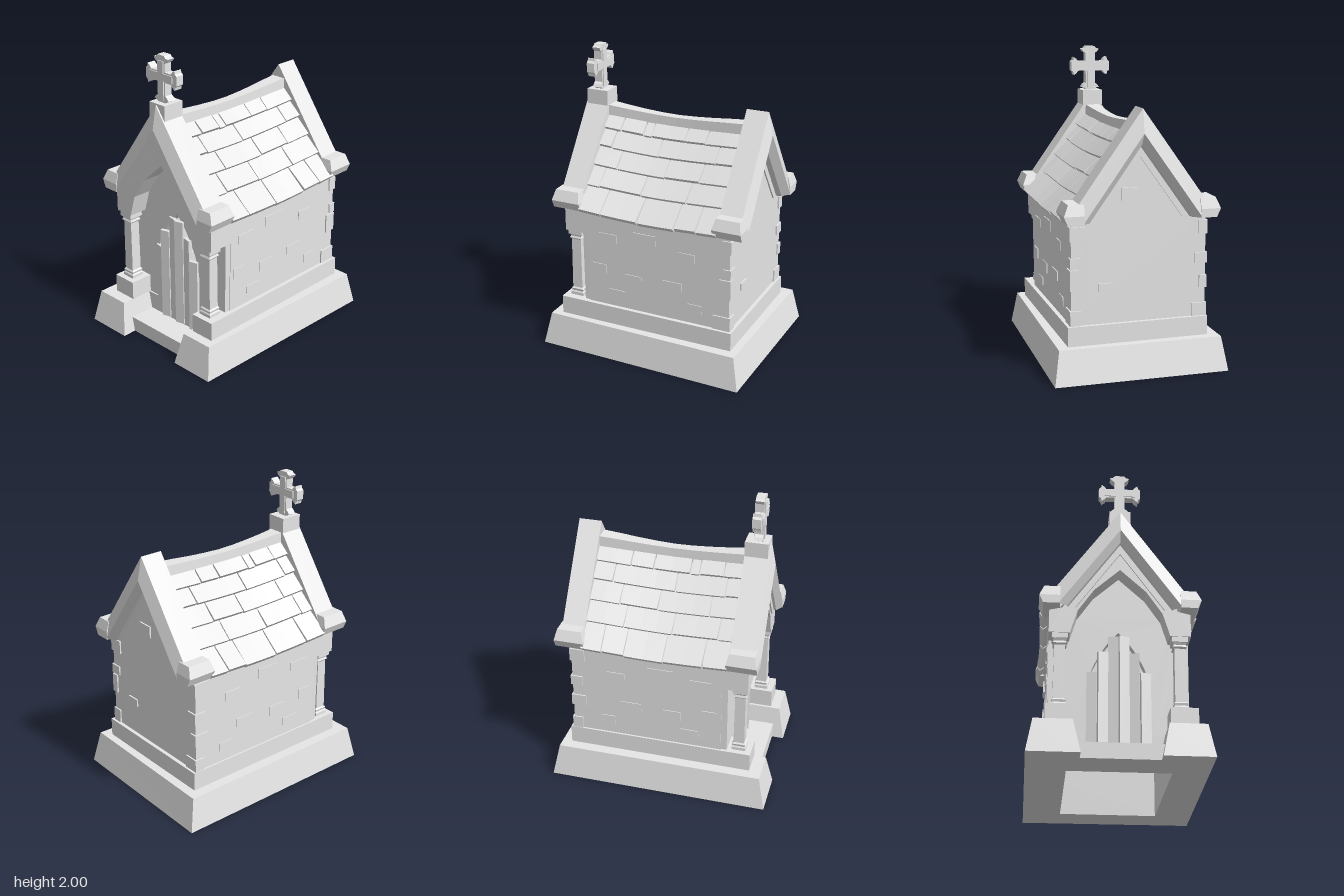
import * as THREE from 'three';

const stone = new THREE.MeshStandardMaterial({ color: 0xe7e7e7 });
stone.name = 'stone';

// Adds a faceted mesh to a group
function add(parent, name, geometry) {
  const g = geometry.index ? geometry.toNonIndexed() : geometry;
  g.computeVertexNormals();
  const mesh = new THREE.Mesh(g, stone);
  mesh.name = name;
  parent.add(mesh);
  return mesh;
}

// Box given by its limits
function box(x0, x1, y0, y1, z0, z1) {
  return new THREE.BoxGeometry(x1 - x0, y1 - y0, z1 - z0)
    .translate((x0 + x1) / 2, (y0 + y1) / 2, (z0 + z1) / 2);
}

const shapeOf = (pts) => new THREE.Shape(pts.map(([a, b]) => new THREE.Vector2(a, b)));

// Profile in (-z, y) pushed along x, and plan in (x, -z) pushed up y
function extrudeX(shape, x0, x1) {
  return new THREE.ExtrudeGeometry(shape, { depth: x1 - x0, bevelEnabled: false })
    .rotateY(Math.PI / 2).translate(x0, 0, 0);
}
function extrudeY(shape, y0, y1) {
  return new THREE.ExtrudeGeometry(shape, { depth: y1 - y0, bevelEnabled: false })
    .rotateX(-Math.PI / 2).translate(0, y0, 0);
}

// U-shaped plan with a notch for the entrance and a hollow middle
function footing(x0, x1, z, legZ, notchX, [hx0, hx1, hz]) {
  const s = shapeOf([[x0, -z], [x1, -z], [x1, z], [x0, z], [x0, legZ], [notchX, legZ], [notchX, -legZ], [x0, -legZ]]);
  s.holes.push(shapeOf([[hx0, -hz], [hx0, hz], [hx1, hz], [hx1, -hz]]));
  return s;
}

// Pointed arch from one springing point over the apex to the other
function archPoints(half, spring, apex, n) {
  const right = [];
  for (let i = 0; i < n; i++) {
    const t = i / n;
    right.push([half * Math.cos(t * Math.PI / 2) ** 0.8 * (1 - 0.12 * t), spring + (apex - spring) * t]);
  }
  return [...right, [0, apex], ...right.slice().reverse().map(([a, b]) => [-a, b])];
}

// Sagging roof: maps a box (x, thickness, 0..1 down the slope) on to a roof course
const sag = (x) => 1 - Math.min(1, Math.abs(x / 0.48) ** 1.6);
function course(x0, x1, from, to, thick, skew = 0) {
  const g = new THREE.BoxGeometry(x1 - x0, 1, 1, Math.max(1, Math.round((x1 - x0) / 0.12)), 1, 1);
  const p = g.attributes.position;
  const dz = to[0] - from[0], dy = to[1] - from[1], len = Math.hypot(dz, dy);
  for (let i = 0; i < p.count; i++) {
    const t = p.getZ(i) + 0.5, d = (p.getY(i) - 0.5) * thick;
    const x = p.getX(i) + (x0 + x1) / 2 + skew * t;
    p.setXYZ(i, x,
      from[1] + dy * t + d * dz / len + 0.025 * (1 - sag(x)),
      from[0] + dz * t - d * dy / len + 0.015 * (1 - sag(x)));
  }
  return g;
}

// Gable coping: a section swept over the apex and cut level at the feet; s is the end of the roof
function coping(s, section) {
  const n = section.length, pos = [], idx = [];
  for (const side of [s, 0, -s]) for (const [x, dy] of section) {
    const y = side === 0 ? 1.69 + dy : dy < 0 ? 1.0 : 1.1;
    pos.push(x, y, side * (1.69 + dy - y) / 1.4);
  }
  for (let i = 0; i < 2; i++) for (let j = 0; j < n; j++) {
    const a = i * n + j, b = i * n + (j + 1) % n;
    idx.push(a, b, b + n, a, b + n, a + n);
  }
  const g = new THREE.BufferGeometry();
  g.setAttribute('position', new THREE.Float32BufferAttribute(pos, 3));
  g.setIndex(idx);
  return g;
}

function buildBase(root) {
  // Plinth splayed toward the ground and slightly askew at the front
  const plinth = extrudeY(footing(-0.69, 0.69, 0.53, 0.295, -0.46, [-0.4, 0.5, 0.32]), 0, 0.22);
  const p = plinth.attributes.position;
  for (let i = 0; i < p.count; i++) {
    const sx = Math.sign(p.getX(i)), sz = Math.sign(p.getZ(i));
    let x = Math.abs(p.getX(i)), z = Math.abs(p.getZ(i));
    const leg = z < 0.31;
    if (p.getY(i) < 0.01) {
      if (x > 0.6) x += 0.045;
      if (leg) z -= 0.045;
      else if (z > 0.5) z += 0.037;
    }
    if (sz > 0) {
      if (x > 0.6) x -= 0.015;
      if (leg) z -= 0.022;
      else if (z > 0.5) z -= 0.028 * (0.69 - x * sx) / 1.38;
    }
    p.setX(i, x * sx);
    p.setZ(i, z * sz);
  }
  add(root, 'plinth', plinth);
  add(root, 'upperPlinth', extrudeY(footing(-0.61, 0.625, 0.46, 0.29, -0.44, [-0.38, 0.5, 0.32]), 0.22, 0.345));
  add(root, 'entranceStep', box(-0.64, -0.4, 0, 0.1, -0.27, 0.25));
}

function buildWalls(root) {
  for (const s of [-1, 1]) {
    add(root, 'sideWall', box(-0.41, 0.6, 0.345, 1.0, s > 0 ? 0.33 : -0.44, s > 0 ? 0.44 : -0.33));
  }
  const gableTop = [[0.44, 0.98], [0.36, 1.0], [0, 1.5], [-0.36, 1.0], [-0.44, 0.98]];
  add(root, 'backGable', extrudeX(shapeOf([[-0.44, 0.345], [0.44, 0.345], ...gableTop]), 0.5, 0.6));

  // Entrance wall with pointed doorway
  const front = shapeOf([[-0.43, 0.1], [0.43, 0.1], ...gableTop]);
  front.holes.push(shapeOf([[-0.2, 0.11], [0.2, 0.11], ...archPoints(0.2, 0.5, 0.9, 5)]));
  add(root, 'entranceWall', extrudeX(front, -0.45, -0.39));

  // Porch gable with a wide arch
  add(root, 'porchArch', extrudeX(shapeOf([[-0.44, 0.83], ...archPoints(0.31, 0.83, 1.28, 3).reverse(), [0.44, 0.83], ...gableTop]), -0.58, -0.41));

  // Door of wide uneven planks under the arch
  for (let i = 0; i < 6; i++) {
    const z = -0.165 + i * 0.066;
    const top = 0.9 - 0.36 * (Math.abs(z) / 0.2) ** 1.3;
    const plank = add(root, 'doorPlank', new THREE.BoxGeometry(0.025, top - 0.11, 0.064));
    plank.position.set(-0.455 - (i % 2) * 0.01, (top + 0.11) / 2, z);
    plank.rotation.y = i % 2 ? 0.25 : -0.2;
  }

  // Raised stones on the long walls
  const bricks = [[-0.27, 0.83, 0.14, 0.06], [0.0, 0.87, 0.17, 0.07], [0.3, 0.8, 0.12, 0.06], [-0.33, 0.6, 0.1, 0.07],
    [-0.08, 0.56, 0.12, 0.07], [0.2, 0.58, 0.14, 0.06], [0.36, 0.45, 0.1, 0.06], [-0.2, 0.44, 0.12, 0.05]];
  for (const s of [-1, 1]) for (const [x, y, w, h] of bricks) {
    add(root, 'wallStone', new THREE.BoxGeometry(w, h, 0.02)).position.set(x, y, s * 0.435);
  }
  // Raised stones on the back gable
  for (const [z, y, w, h] of [[0.06, 1.16, 0.11, 0.08], [0.22, 0.58, 0.09, 0.05]]) {
    add(root, 'gableStone', new THREE.BoxGeometry(0.02, h, w)).position.set(0.6, y, z);
  }
  // Corner stones
  for (const [s, y0, y1, lx, lz] of [[1, 0.88, 0.97, 0.06, 0.1], [1, 0.71, 0.775, 0.05, 0.08], [1, 0.57, 0.7, 0.08, 0.05], [1, 0.345, 0.44, 0.12, 0.07],
    [-1, 0.88, 0.97, 0.1, 0.06], [-1, 0.69, 0.76, 0.08, 0.08], [-1, 0.53, 0.61, 0.1, 0.05], [-1, 0.345, 0.43, 0.07, 0.1]]) {
    add(root, 'cornerStone', box(0.61 - lx, 0.61, y0, y1, s > 0 ? 0.449 - lz : -0.449, s > 0 ? 0.449 : -0.449 + lz));
  }
}

function buildColumns(root) {
  // Square column: half widths and heights
  const profile = [[0, 0.345], [0.046, 0.345], [0.046, 0.365], [0.04, 0.375], [0.044, 0.39], [0.036, 0.4], [0.034, 0.755],
    [0.043, 0.765], [0.037, 0.78], [0.046, 0.8], [0, 0.8]].map(([r, y]) => new THREE.Vector2(r * Math.SQRT2, y));
  for (const s of [-1, 1]) {
    const x = -0.525, z = s * 0.37;
    add(root, 'column', new THREE.LatheGeometry(profile, 4, Math.PI / 4)).position.set(x, 0, z);
    add(root, 'columnCapital', box(x - 0.05, x + 0.05, 0.795, 0.835, z - 0.05, z + 0.05));
  }
}

function buildRoof(root) {
  const edges = [[0.0, 1.545], [0.11, 1.45], [0.185, 1.35], [0.268, 1.245], [0.36, 1.135], [0.488, 1.0]];
  const joints = [[-0.33, -0.17, -0.11, 0.13, 0.28], [-0.36, -0.03, 0.38], [-0.28, 0.06, 0.31], [-0.36, -0.06, 0.26], [-0.29, -0.03, 0.23, 0.38]];
  // Overlapping tile courses on both slopes
  for (const s of [1, -1]) {
    const slope = new THREE.Group();
    slope.name = s > 0 ? 'frontSlope' : 'backSlope';
    if (s < 0) slope.rotation.y = Math.PI;
    add(slope, 'roofDeck', course(s > 0 ? -0.45 : -0.51, s > 0 ? 0.51 : 0.45, [0, 1.53], [0.44, 0.99], 0.03));
    joints.forEach((row, r) => {
      const cuts = [-0.45, ...row, 0.52];
      const [z0, y0] = edges[r], [z1, y1] = edges[r + 1];
      const top = r ? [z0 - 0.02, y0 - 0.014] : [z0, y0];
      for (let i = 0; i + 1 < cuts.length; i++) {
        const a = cuts[i] + 0.004, b = cuts[i + 1] - 0.004;
        const lift = 0.004 * Math.sin(i * 2.3 + r * 1.7);
        add(slope, 'roofTile', course(s > 0 ? a : -b, s > 0 ? b : -a, top, [z1, y1 + lift], 0.035, i ? 0.004 * Math.sin(i + r) : 0));
      }
    });
    root.add(slope);
  }
  // Ridge, lower and narrower in the middle
  const ridge = new THREE.BoxGeometry(0.97, 0.08, 1, 8, 1, 1).translate(0.03, 0, 0);
  const p = ridge.attributes.position;
  for (let i = 0; i < p.count; i++) {
    const k = sag(p.getX(i)), low = p.getY(i) < 0;
    p.setY(i, (low ? 1.5 : 1.603) - 0.03 * k);
    p.setZ(i, p.getZ(i) * 2 * ((low ? 0.056 : 0.05) - 0.018 * k));
  }
  add(root, 'ridge', ridge);

  // Copings with a stepped inner moulding, and their foot blocks
  const ends = [
    [1, [[0.51, 0], [0.66, 0], [0.69, -0.15], [0.645, -0.225], [0.61, -0.235], [0.61, -0.3], [0.51, -0.3]]],
    [-1, [[-0.45, 0], [-0.61, 0], [-0.64, -0.15], [-0.605, -0.225], [-0.59, -0.235], [-0.59, -0.3], [-0.45, -0.3]]]];
  for (const [s, section] of ends) {
    add(root, 'gableCoping', coping(s, section));
    const [x0, x1] = s > 0 ? [0.495, 0.69] : [-0.64, -0.44];
    const mid = (x0 + x1) / 2;
    for (const side of [-1, 1]) {
      const foot = box(x0, x1, 1.055, 1.125, side > 0 ? 0.375 : -0.505, side > 0 ? 0.505 : -0.375);
      const q = foot.attributes.position;
      for (let i = 0; i < q.count; i++) if (q.getY(i) > 1.1) {
        q.setX(i, mid + (q.getX(i) - mid) * 0.82);
        if (Math.abs(q.getZ(i)) > 0.45) q.setZ(i, side * 0.475);
      }
      add(root, 'copingFoot', foot);
      const under = box(x0, x1, 1.0, 1.055, side > 0 ? 0.375 : -0.505, side > 0 ? 0.505 : -0.375);
      const u = under.attributes.position;
      for (let i = 0; i < u.count; i++) if (u.getY(i) < 1.01 && Math.abs(u.getZ(i)) > 0.45) u.setZ(i, side * 0.48);
      add(root, 'copingFootBase', under);
    }
  }
}

function buildCross(root) {
  add(root, 'crossBase', box(-0.6, -0.45, 1.6, 1.7, -0.068, 0.068));
  // One flared arm, turned four times; the lower arm is the longer
  const arm = [[0.033, 0.033], [0.088, 0.033], [0.1, 0.05], [0.118, 0.062], [0.122, 0.042], [0.136, 0.03],
    [0.136, -0.03], [0.122, -0.042], [0.118, -0.062], [0.1, -0.05], [0.088, -0.033]];
  const outline = [];
  for (const [dx, dy] of [[1, 0], [0, -1], [-1, 0], [0, 1]]) {
    for (const [u, v] of arm) {
      const l = dy < 0 && u > 0.04 ? u + 0.03 : u;
      outline.push([dx * l - dy * v, 1.864 + dy * l + dx * v]);
    }
  }
  add(root, 'cross', extrudeX(shapeOf(outline), -0.56, -0.505));
  // Raised inner cross
  add(root, 'crossInlay', box(-0.567, -0.498, 1.715, 1.965, -0.024, 0.024));
  add(root, 'crossInlayBar', box(-0.567, -0.498, 1.84, 1.888, -0.1, 0.1));
}

export function createModel() {
  const model = new THREE.Group();
  model.name = 'stoneCrypt';
  buildBase(model);
  const upper = new THREE.Group();
  upper.name = 'upperBuilding';
  upper.position.z = -0.008;
  buildWalls(upper);
  buildColumns(upper);
  buildRoof(upper);
  buildCross(upper);
  model.add(upper);
  return model;
}
